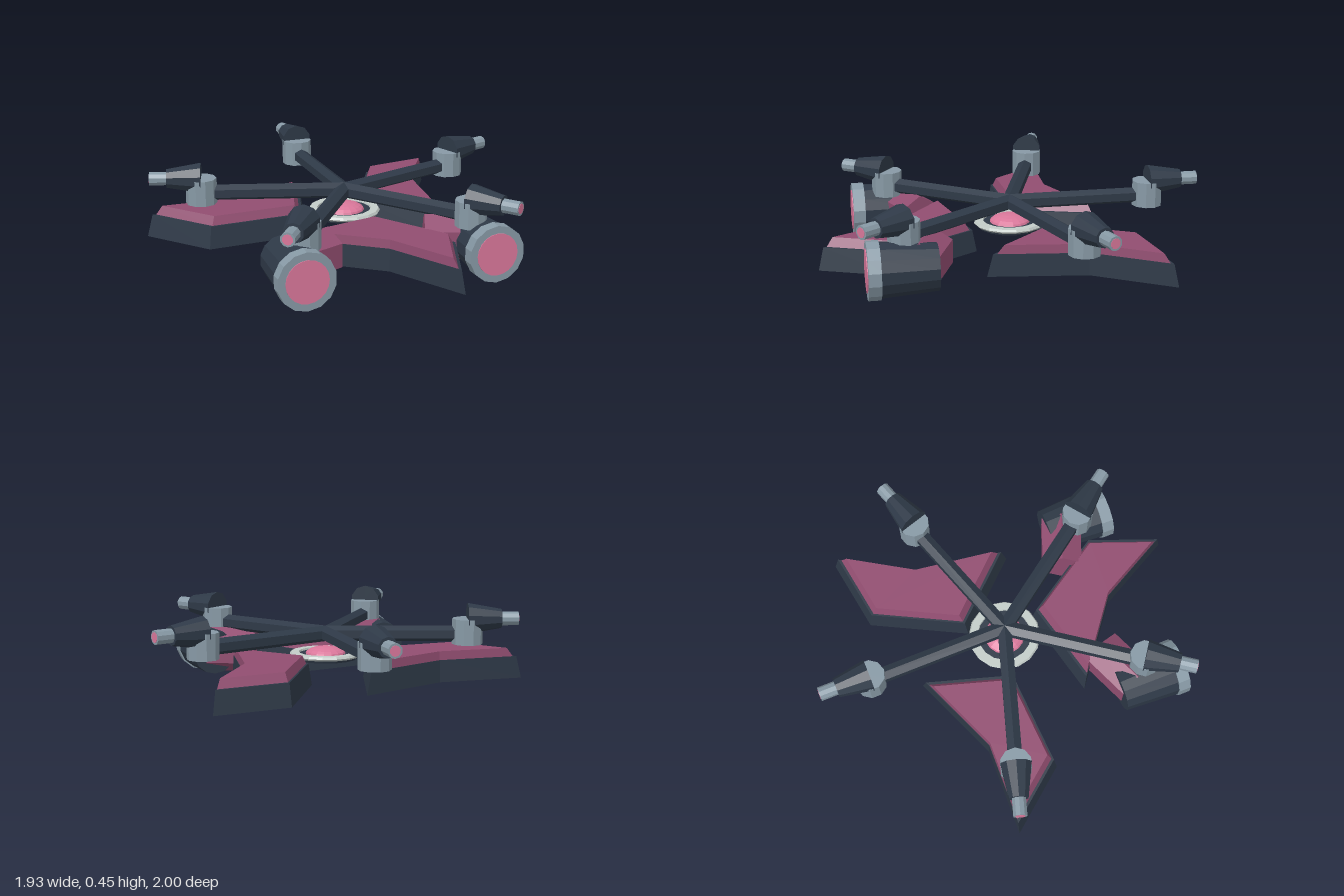
import * as THREE from 'three';

const mat = (name, color) => {
  const m = new THREE.MeshStandardMaterial({ color, flatShading: true });
  m.name = name;
  return m;
};

export function createModel() {
  const dark = mat('dark slate', 0x2e3947);
  const plum = mat('plum', 0x914d70);
  const pink = mat('bright pink', 0xd9779a);
  const steel = mat('steel grey', 0x8799a5);
  const pale = mat('pale grey', 0xc3ccc8);

  const root = new THREE.Group();
  root.name = 'craft';
  const add = (parent, name, geometry, material) => {
    const mesh = new THREE.Mesh(geometry, material);
    mesh.name = name;
    parent.add(mesh);
    return mesh;
  };
  const group = (name, parent = root) => {
    const g = new THREE.Group();
    g.name = name;
    parent.add(g);
    return g;
  };
  // Cylinder along +z from z0 (radius r0) to z1 (radius r1)
  const rod = (r0, r1, z0, z1, sides) =>
    new THREE.CylinderGeometry(r1, r0, z1 - z0, sides).rotateX(Math.PI / 2).translate(0, 0, (z0 + z1) / 2);
  // Upright cylinder between two heights
  const post = (r0, r1, y0, y1, sides) =>
    new THREE.CylinderGeometry(r1, r0, y1 - y0, sides).translate(0, (y0 + y1) / 2, 0);

  // Blade outline as (x, z), tapered towards a centre near its inner corner
  const outline = [[0.21, 0.998], [0.355, 0.63], [0.074, 0.186], [-0.394, 0.291], [0, 0.6]];
  const cx = 0.03, cz = 0.555;
  const slab = (s0, s1, y0, y1) => {
    const shape = new THREE.Shape(outline.map(([x, z]) => new THREE.Vector2(x, -z)));
    const g = new THREE.ExtrudeGeometry(shape, { depth: 1, bevelEnabled: false }).rotateX(-Math.PI / 2);
    const p = g.attributes.position;
    for (let i = 0; i < p.count; i++) {
      const top = p.getY(i) > 0.5;
      const s = top ? s1 : s0;
      p.setXYZ(i, cx + (p.getX(i) - cx) * s, top ? y1 : y0, cz + (p.getZ(i) - cz) * s);
    }
    g.computeVertexNormals();
    return g;
  };

  // Three swept blades
  for (let i = 0; i < 3; i++) {
    const blade = group('blade');
    add(blade, 'bladeBase', slab(1, 0.94, 0.06, 0.175), dark);
    add(blade, 'bladePlate', slab(0.9, 0.83, 0.175, 0.22), plum);
    blade.rotation.y = (i * Math.PI * 2) / 3;
  }

  // Central hub: dark dish, pale rim and glowing dome
  const hub = group('hub');
  add(hub, 'hubDish', post(0.165, 0.175, 0.165, 0.19, 16), dark);
  const rim = [[0.135, 0.178], [0.178, 0.178], [0.187, 0.188], [0.18, 0.2], [0.14, 0.2], [0.135, 0.178]];
  add(hub, 'hubRim', new THREE.LatheGeometry(rim.map(([x, y]) => new THREE.Vector2(x, y)), 16), pale);
  add(hub, 'hubDome', new THREE.SphereGeometry(0.105, 16, 5, 0, Math.PI * 2, 0, Math.PI / 2)
    .scale(1, 0.38, 1).translate(0, 0.188, 0), pink);

  // Five arms, each carrying a swivel and a gun
  for (let i = 0; i < 5; i++) {
    const arm = group('arm');
    add(arm, 'armBeam', rod(0.041, 0.041, 0, 0.7, 6).translate(0, 0.294, 0), dark);
    add(arm, 'swivel', post(0.08, 0.08, 0.24, 0.372, 10).translate(0, 0, 0.735), steel);
    const gun = group('gun', arm);
    gun.position.y = 0.372;
    add(gun, 'gunBody', rod(0.081, 0.05, 0.735, 0.91, 10), dark);
    add(gun, 'muzzle', rod(0.036, 0.036, 0.9, 0.998, 10), steel);
    add(gun, 'muzzleGlow', rod(0.026, 0.026, 0.994, 1, 10), pink);
    arm.rotation.y = Math.PI + (i * Math.PI * 2) / 5;
  }

  // Two thrusters on hexagonal struts
  for (const side of [-1, 1]) {
    const thruster = group(side > 0 ? 'leftThruster' : 'rightThruster');
    const engine = group('engine', thruster);
    engine.position.set(side * 0.485, 0.145, 0);
    add(engine, 'engineBody', rod(0.117, 0.137, 0.44, 0.725, 14), dark);
    add(engine, 'engineRing', rod(0.145, 0.145, 0.72, 0.782, 14), steel);
    add(engine, 'engineGlow', rod(0.107, 0.107, 0.778, 0.786, 20), pink);
    const strut = add(thruster, 'strut', rod(0.12, 0.12, 0, 0.26, 6), plum);
    strut.position.set(side * 0.255, 0.15, 0.437);
    strut.rotation.y = side * Math.atan2(0.93, 0.37);
  }

  return root;
}
